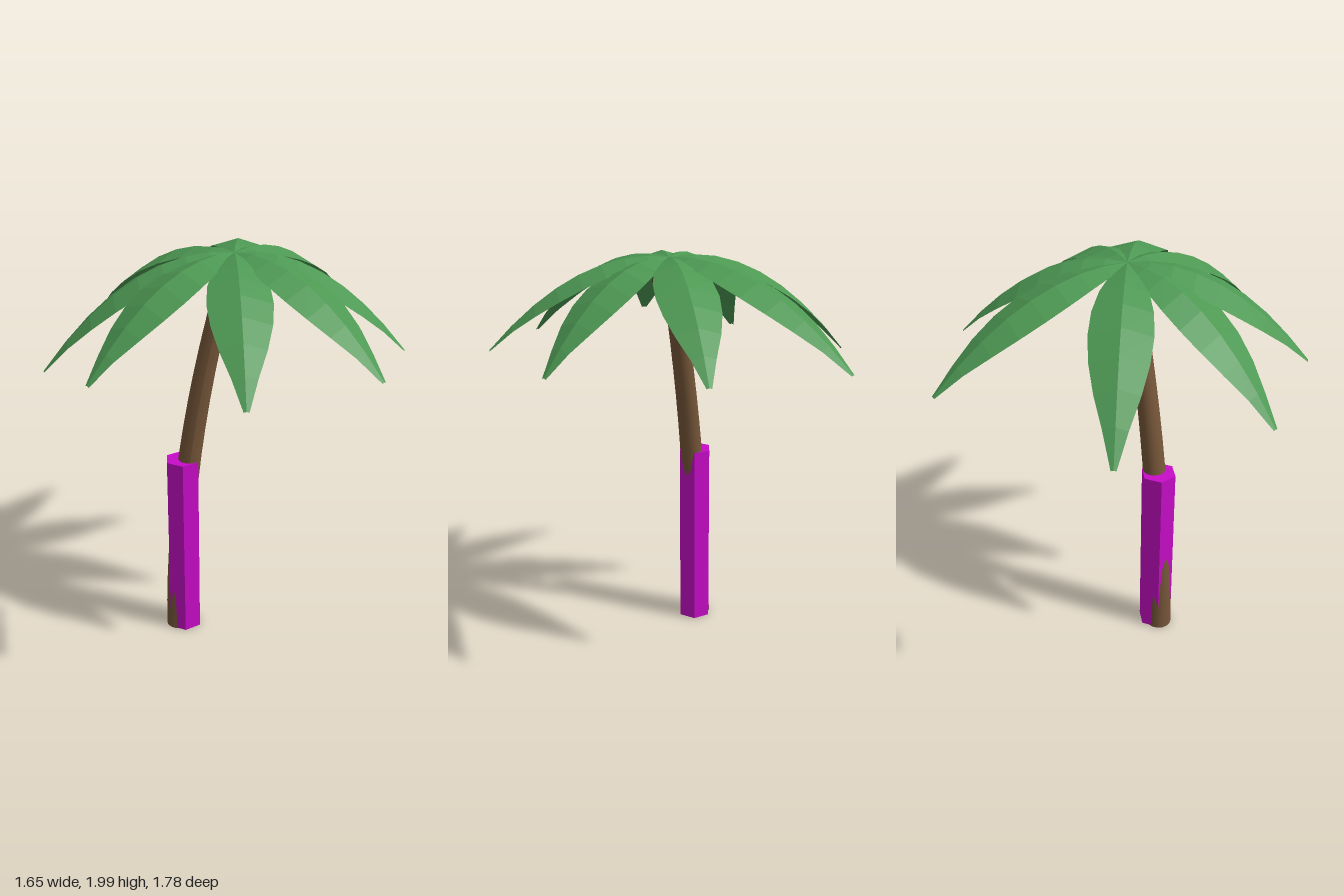
import * as THREE from 'three';

const mat = (color, extra = {}) => new THREE.MeshStandardMaterial({ color, ...extra });
const CROWN = new THREE.Vector3(0.05, 1.985, 0.09);

// Leaf tips: x, y, z
const TIPS = [
  [0.165, 1.58, -0.89], [0.64, 1.58, -0.455], [0.82, 1.565, 0.25], [0.635, 1.59, 0.705],
  [0.05, 1.55, 0.89], [-0.595, 1.575, 0.645], [-0.825, 1.48, 0.215], [-0.635, 1.475, -0.52],
];
// Half-widths from the crown to the tip
const WIDTHS = [0.01, 0.07, 0.11, 0.135, 0.142, 0.13, 0.1, 0.055, 0.012];

// Trunk axis bends towards +x with height
const trunkX = (y) => -0.23 + 0.071 * y * y;

function trunkGeometry() {
  const height = 1.975;
  const geo = new THREE.CylinderGeometry(0.046, 0.066, height, 16, 14);
  geo.translate(0, height / 2, 0);
  const p = geo.attributes.position;
  for (let i = 0; i < p.count; i++) p.setX(i, p.getX(i) + trunkX(p.getY(i)));
  geo.translate(0, 0, 0.095);
  geo.computeVertexNormals();
  return geo;
}

// Arched leaf with a raised midrib: each cross-section is left edge, rib, right edge
function leafGeometry(tip) {
  const along = new THREE.Vector3(tip[0] - CROWN.x, 0, tip[2] - CROWN.z);
  const side = new THREE.Vector3(along.z, 0, -along.x).normalize();
  const rise = 0.13;
  const fall = CROWN.y + rise - tip[1];
  const pos = [], index = [];
  WIDTHS.forEach((w, i) => {
    const t = i / (WIDTHS.length - 1);
    const y = CROWN.y + rise * t - fall * t * t;
    for (const s of [-1, 0, 1]) {
      pos.push(
        CROWN.x + along.x * t + side.x * w * s,
        y - Math.abs(s) * w * 0.3,
        CROWN.z + along.z * t + side.z * w * s
      );
    }
    if (i === 0) return;
    for (let k = 0; k < 2; k++) {
      const a = (i - 1) * 3 + k, b = a + 3;
      index.push(a, a + 1, b, a + 1, b + 1, b);
    }
  });
  const geo = new THREE.BufferGeometry();
  geo.setAttribute('position', new THREE.Float32BufferAttribute(pos, 3));
  geo.setIndex(index);
  geo.computeVertexNormals();
  return geo;
}

export function createModel() {
  const model = new THREE.Group();
  const add = (name, geo, material, parent = model) => {
    const mesh = new THREE.Mesh(geo, material);
    mesh.name = name;
    parent.add(mesh);
    return mesh;
  };

  // Curved tapering trunk
  add('trunk', trunkGeometry(), mat(0x765639));

  // Hexagonal sleeve around the lower trunk
  const sleeve = add('sleeve', new THREE.CylinderGeometry(0.088, 0.088, 0.956, 6),
    mat(0xc80cc8, { flatShading: true }));
  sleeve.position.set(-0.2, 0.482, 0.095);

  // Crown of eight leaves
  const leaves = new THREE.Group();
  leaves.name = 'leaves';
  model.add(leaves);
  const green = mat(0x4d9853, { flatShading: true, side: THREE.DoubleSide });
  TIPS.forEach((tip, i) => add(`leaf${i + 1}`, leafGeometry(tip), green, leaves));

  // Three coconuts under the crown
  const coconuts = new THREE.Group();
  coconuts.name = 'coconuts';
  model.add(coconuts);
  const brown = mat(0x5a3b28);
  for (let i = 0; i < 3; i++) {
    const a = (i * Math.PI * 2) / 3;
    add(`coconut${i + 1}`, new THREE.SphereGeometry(0.045, 14, 10), brown, coconuts)
      .position.set(0.035 + 0.078 * Math.cos(a), 1.885, 0.092 + 0.078 * Math.sin(a));
  }
  return model;
}
